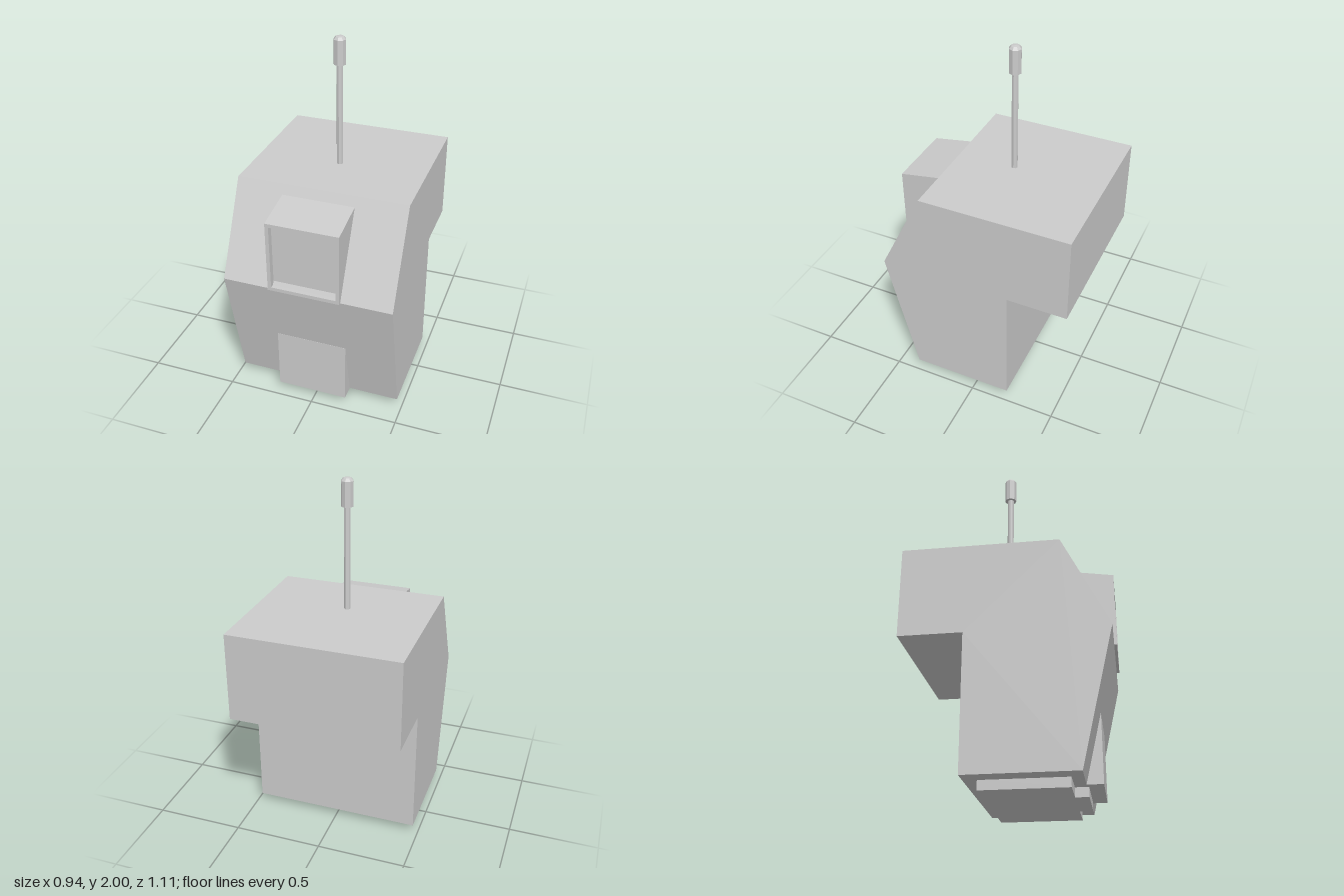
import * as THREE from 'three';

const material = new THREE.MeshStandardMaterial({ color: 0xcccccc, flatShading: true });

function add(group, name, geometry, x = 0, y = 0, z = 0) {
  const mesh = new THREE.Mesh(geometry, material);
  mesh.name = name;
  mesh.position.set(x, y, z);
  group.add(mesh);
  return mesh;
}

const polygon = (points) => new THREE.Shape(points.map(([a, b]) => new THREE.Vector2(a, b)));

const extrude = (shape, depth) => new THREE.ExtrudeGeometry(shape, { depth, bevelEnabled: false });

// Side profile of (z, y) points, extruded across x and centred
function sideProfile(points, width) {
  return extrude(polygon(points), width).translate(0, 0, -width / 2).rotateY(-Math.PI / 2);
}

const rectangle = (x0, x1, y0, y1) => [[x0, y0], [x1, y0], [x1, y1], [x0, y1]];

export function createModel() {
  const model = new THREE.Group();
  model.name = 'machine';

  // Cabinet: overhanging rear, sloped front
  add(model, 'cabinet', sideProfile([
    [0.37, 0.05], [0.54, 0.78], [0.29, 1.28], [-0.55, 1.28],
    [-0.55, 0.78], [-0.21, 0.78], [-0.21, 0.05],
  ], 0.945));

  // Screen housing: hollow frame whose top rises toward the back
  const front = 0.555, depth = 0.25, centreX = -0.01;
  const frame = polygon(rectangle(-0.2, 0.2, 0.78, 1.19));
  frame.holes.push(polygon(rectangle(-0.18, 0.18, 0.8, 1.17)));
  const housing = extrude(frame, depth).translate(0, 0, front - depth);
  const p = housing.attributes.position;
  for (let i = 0; i < p.count; i++) {
    if (p.getY(i) > 1.18) p.setY(i, p.getY(i) + (front - p.getZ(i)) * 0.165);
  }
  housing.computeVertexNormals();
  add(model, 'screenHousing', housing, centreX);
  add(model, 'screen', new THREE.PlaneGeometry(0.36, 0.37), centreX, 0.985, 0.52);

  // Lower front box, wedged out of the slope
  add(model, 'lowerBox', sideProfile([
    [0.36, 0.05], [0.455, 0.05], [0.455, 0.41], [0.36, 0.41],
  ], 0.4), centreX);

  // Foot plate with a tab at the front
  const plate = polygon([
    [-0.37, 0.14], [-0.37, -0.31], [-0.165, -0.31], [-0.165, -0.38],
    [0.145, -0.38], [0.145, -0.31], [0.37, -0.31], [0.37, 0.14],
  ]);
  add(model, 'footPlate', extrude(plate, 0.055).rotateX(-Math.PI / 2));

  // Antenna rod and tip
  const ax = -0.014, az = -0.036;
  add(model, 'antennaRod', new THREE.CylinderGeometry(0.018, 0.018, 0.6, 8), ax, 1.56, az);
  const tip = [[0, 1.85], [0.034, 1.85], [0.034, 1.983], [0.022, 1.997], [0, 2]];
  add(model, 'antennaTip', new THREE.LatheGeometry(
    tip.map(([r, y]) => new THREE.Vector2(r, y)), 8), ax, 0, az);

  return model;
}
